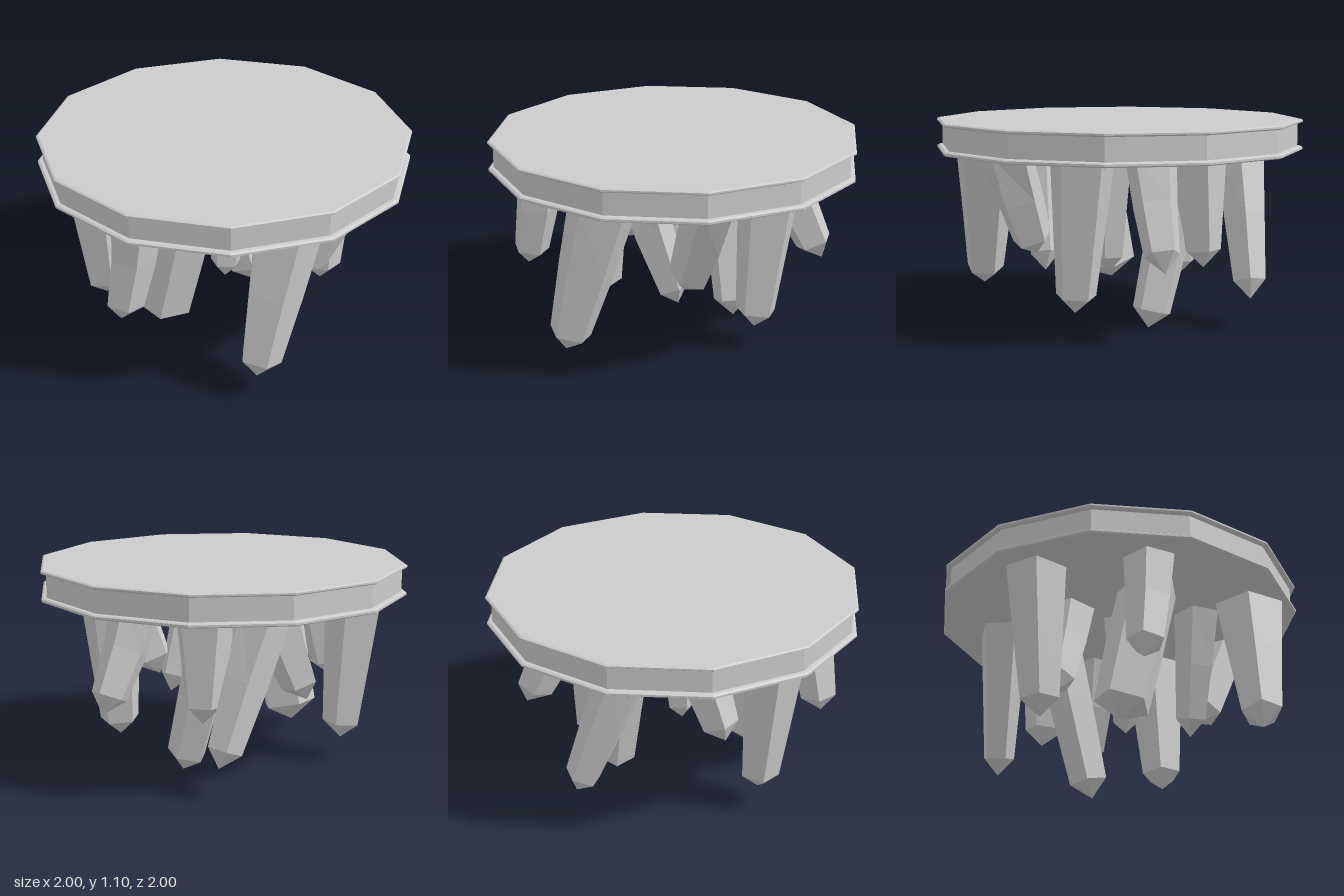
import * as THREE from 'three';

const material = new THREE.MeshStandardMaterial({ color: 0xcccccc, flatShading: true });
const BASE = 0.935; // height of the crystals' roots

// Tapered five-sided crystal hanging from the slab, its axis running from top [x, z] to tip [x, y, z]
function crystal(top, tip, topRadius, lowRadius, turn = 0, bend = 1) {
  const [tx, tipY, tz] = tip;
  const dx = tx - top[0], dz = tz - top[1];
  const length = BASE - tipY;
  const shoulder = tipY + 0.09;
  const middle = shoulder + (BASE - shoulder) * 0.5;
  const profile = [
    new THREE.Vector2(0, tipY),
    new THREE.Vector2(lowRadius, shoulder),
    new THREE.Vector2((topRadius + lowRadius) / 2, middle),
    new THREE.Vector2(topRadius, BASE),
    new THREE.Vector2(0, BASE),
  ];
  const geometry = new THREE.LatheGeometry(profile, 5, turn);
  const pos = geometry.attributes.position;
  for (let i = 0; i < pos.count; i++) {
    const x = pos.getX(i), y = pos.getY(i), z = pos.getZ(i);
    const t = Math.pow(Math.max(0, (BASE - y) / length), bend);
    // Lower rings tilt square to the leaning axis
    const tilt = y < BASE - 0.01 ? (x * dx + z * dz) / length : 0;
    pos.setXYZ(i, x + top[0] + dx * t, y + tilt, z + top[1] + dz * t);
  }
  geometry.computeVertexNormals();
  return new THREE.Mesh(geometry, material);
}

export function createModel() {
  const group = new THREE.Group();

  // Twelve-sided slab with a recessed edge between two bevelled lips
  const rim = [
    [0, 0.93], [0.99, 0.93], [1, 0.936], [1, 0.947], [0.99, 0.954], [0.972, 0.956],
    [0.972, 1.077], [0.99, 1.079], [1, 1.085], [1, 1.094], [0.99, 1.1], [0, 1.1],
  ].map(([r, y]) => new THREE.Vector2(r, y));
  const slab = new THREE.Mesh(new THREE.LatheGeometry(rim, 12), material);
  slab.name = 'slab';
  group.add(slab);

  // Crystals: top [x, z], tip [x, y, z], top radius, lower radius, turn, bend
  const crystals = new THREE.Group();
  crystals.name = 'crystals';
  const specs = [
    [[-0.73, 0.03], [-0.66, 0.125, 0.02], 0.165, 0.105, 0.4],
    [[-0.2, 0.37], [-0.36, 0.14, 0.29], 0.17, 0.15, -0.1],
    [[-0.32, -0.57], [-0.11, 0.165, -0.77], 0.14, 0.09, 0.9],
    [[0.03, 0.03], [0, 0.245, 0.06], 0.14, 0.085, 0.63],
    [[-0.07, -0.39], [0.16, 0, -0.3], 0.14, 0.105, 0.3],
    [[0.29, 0.69], [0.14, 0.125, 0.84], 0.19, 0.11, 0.25],
    [[0.58, -0.17], [0.55, 0.125, -0.1], 0.175, 0.11, 0.28],
    [[0.64, 0.27], [0.4, 0.385, 0.26], 0.145, 0.105, 0.4],
    [[0.2, 0.41], [0.335, 0.285, 0.25], 0.13, 0.085, 0.1, 1.1],
    [[-0.46, 0.57], [-0.555, 0.33, 0.6], 0.14, 0.1, 0.2, 1.5],
    [[0.37, -0.45], [0.52, 0.38, -0.63], 0.14, 0.095, 0.3, 1.3],
    [[0.01, -0.49], [0.01, 0.33, -0.55], 0.17, 0.1, 0],
    [[-0.29, -0.12], [-0.48, 0.35, -0.05], 0.15, 0.1, 0.5, 1.3],
  ];
  specs.forEach((spec, i) => {
    const mesh = crystal(...spec);
    mesh.name = `crystal${i + 1}`;
    crystals.add(mesh);
  });
  group.add(crystals);
  return group;
}
